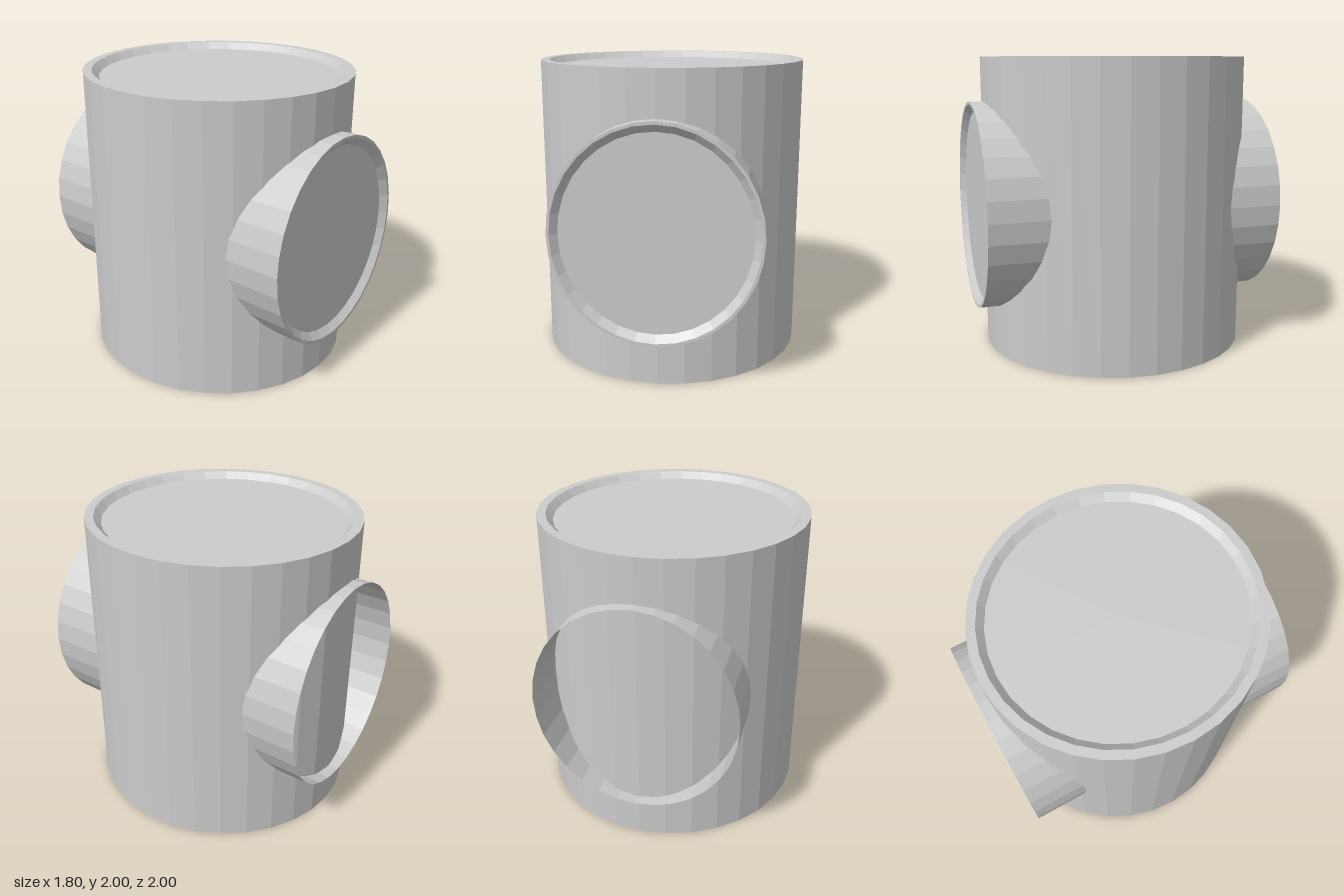
import * as THREE from 'three';

const material = new THREE.MeshStandardMaterial({
  color: 0xcccccc, flatShading: true, side: THREE.DoubleSide,
});

// Open-ended 32-sided tube of unit radius with a rimmed, recessed cap at the top end
function cappedTube(name, start, end, rim, floorRadius, depth) {
  const profile = [
    [1, start], [1, end], [rim, end], [floorRadius, end - depth], [0, end - depth],
  ].map(([r, y]) => new THREE.Vector2(r, y));
  const mesh = new THREE.Mesh(new THREE.LatheGeometry(profile, 32), material);
  mesh.name = name;
  return mesh;
}

export function createModel() {
  const group = new THREE.Group();
  group.name = 'pipeJunction';

  // Upright pipe, open at the bottom
  const upright = cappedTube('uprightPipe', 0, 2, 0.935, 0.885, 0.045);
  upright.geometry.scale(0.9, 1, 0.92);
  upright.position.z = -0.01;

  // Cross pipe running through it, capped at the front and open at the back
  const cross = cappedTube('crossPipe', -1, 1, 0.972, 0.905, 0.04);
  cross.geometry.scale(0.665, 1, 0.705);
  cross.geometry.rotateX(Math.PI / 2);
  cross.position.y = 1;

  group.add(upright, cross);
  return group;
}
